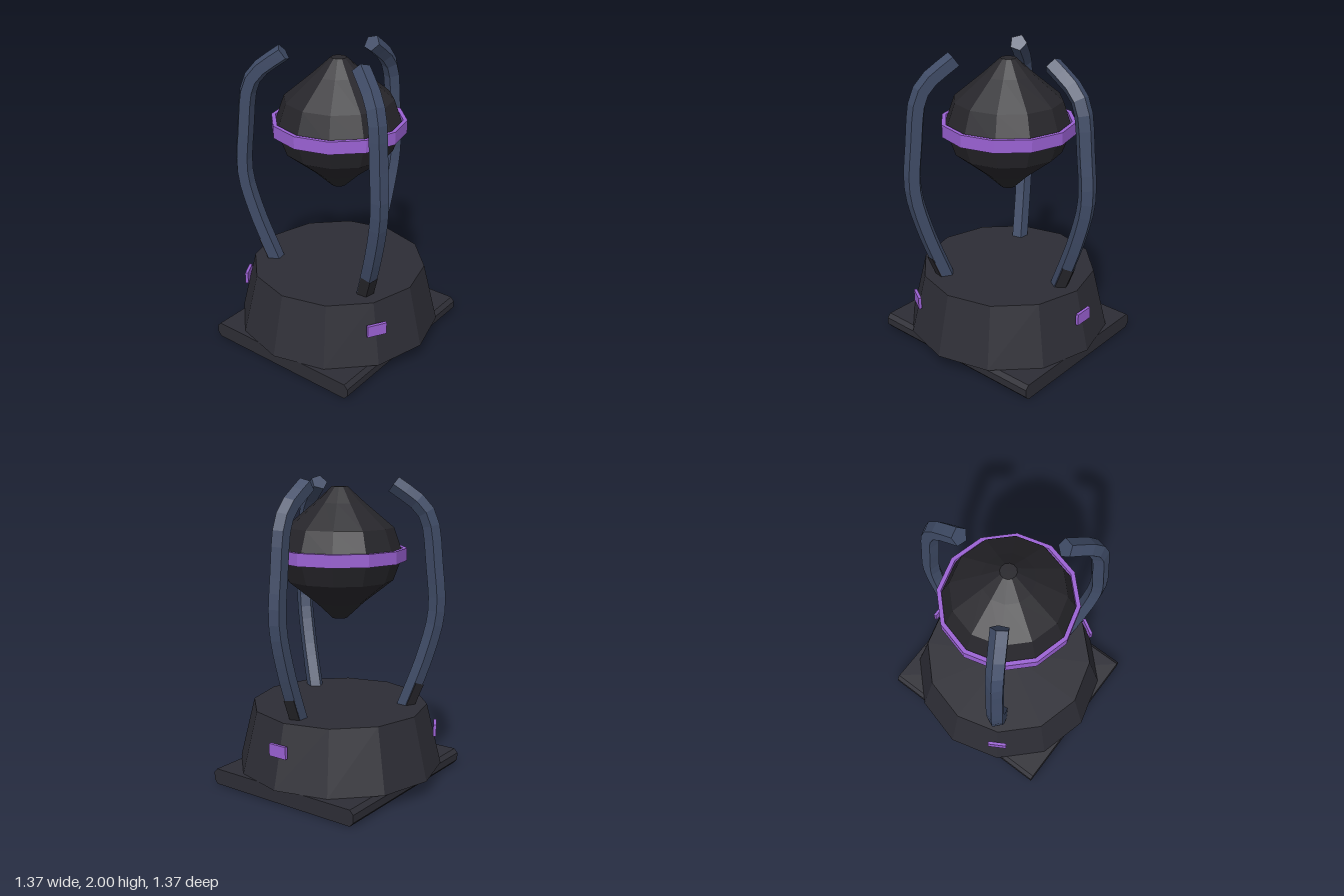
import * as THREE from 'three';

const mat = (name, color, extra = {}) => {
  const m = new THREE.MeshStandardMaterial({ color, flatShading: true, ...extra });
  m.name = name;
  return m;
};

const add = (parent, name, geometry, material) => {
  const mesh = new THREE.Mesh(geometry, material);
  mesh.name = name;
  parent.add(mesh);
  return mesh;
};

const profile = (pts) => pts.map(([x, y]) => new THREE.Vector2(x, y));

// Five-sided tube along a path, closed at both ends
function cappedTube(parent, name, curve, segments, radius, material) {
  const tube = new THREE.TubeGeometry(curve, segments, radius, 5, false);
  add(parent, name, tube, material);
  const pos = tube.attributes.position;
  for (const ring of [0, segments]) {
    const cap = new THREE.BufferGeometry();
    const pts = [0, 1, 2, 3, 4].map((j) => new THREE.Vector3().fromBufferAttribute(pos, ring * 6 + j));
    cap.setFromPoints(pts);
    cap.setIndex(ring === 0 ? [0, 2, 1, 0, 3, 2, 0, 4, 3] : [0, 1, 2, 0, 2, 3, 0, 3, 4]);
    cap.computeVertexNormals();
    add(parent, name + 'End', cap, material);
  }
}

export function createModel() {
  const model = new THREE.Group();
  model.name = 'pedestalOrb';

  const baseMat = mat('charcoal', 0x2d2d35);
  const gemMat = mat('black', 0x27262b);
  const clawMat = mat('slateBlue', 0x3f4b66, { side: THREE.DoubleSide });
  const glowMat = mat('purple', 0x9a61d3);

  // Base plate with chamfered long edges
  const plate = new THREE.Shape(profile([
    [-0.54, 0], [0.54, 0], [0.565, 0.028], [0.565, 0.078],
    [0.54, 0.105], [-0.54, 0.105], [-0.565, 0.078], [-0.565, 0.028],
  ]));
  const plateGeo = new THREE.ExtrudeGeometry(plate, { depth: 1.27, bevelEnabled: false });
  plateGeo.translate(0, 0, -0.635);
  add(model, 'basePlate', plateGeo, baseMat);

  // Tapered twelve-sided pedestal
  const drum = add(model, 'pedestal', new THREE.CylinderGeometry(0.585, 0.685, 0.41, 12), baseMat);
  drum.position.y = 0.31;

  // Floating faceted core
  add(model, 'core', new THREE.LatheGeometry(profile([
    [0, 1.09], [0.05, 1.09], [0.16, 1.194], [0.35, 1.344], [0.41, 1.514],
    [0.35, 1.684], [0.16, 1.842], [0.05, 1.942], [0, 1.942],
  ]), 12), gemMat);

  // Band around the core
  add(model, 'coreBand', new THREE.LatheGeometry(profile([
    [0.408, 1.472], [0.435, 1.472], [0.435, 1.553], [0.408, 1.553], [0.408, 1.472],
  ]), 12), glowMat);

  // Claw path, drawn outward along x
  const clawCurve = new THREE.CatmullRomCurve3([
    [0.42, 0.45], [0.57, 0.87], [0.632, 1.15], [0.612, 1.45],
    [0.572, 1.74], [0.51, 1.835], [0.344, 1.957],
  ].map(([x, y]) => new THREE.Vector3(x, y, 0)));

  // Dark sheath on the outer side of the claw's foot
  const footCurve = new THREE.LineCurve3(
    new THREE.Vector3(0.424, 0.45, 0), new THREE.Vector3(0.51, 0.67, 0));

  // Three claws with a lamp below each
  for (let i = 0; i < 3; i++) {
    const arm = new THREE.Group();
    arm.name = 'clawUnit';
    arm.rotation.y = Math.PI / 2 + (i * Math.PI * 2) / 3;
    cappedTube(arm, 'claw', clawCurve, 18, 0.058, clawMat);
    cappedTube(arm, 'clawFoot', footCurve, 1, 0.057, gemMat);
    const lamp = add(arm, 'lamp', new THREE.BoxGeometry(0.02, 0.08, 0.13), glowMat);
    lamp.position.set(0.64, 0.35, 0);
    model.add(arm);
  }

  return model;
}
